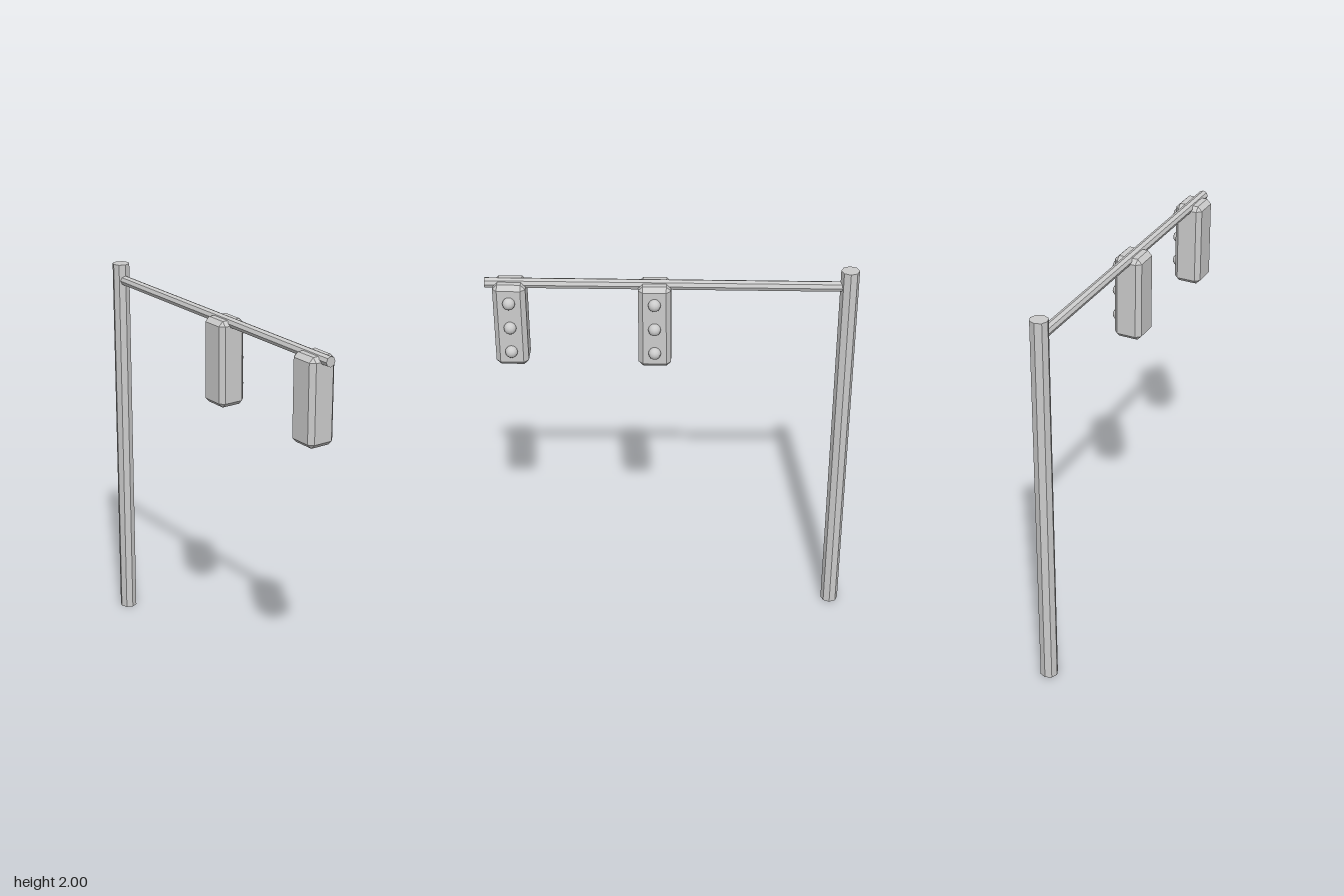
import * as THREE from 'three';
import { ConvexGeometry } from 'three/addons/geometries/ConvexGeometry.js';

const grey = new THREE.MeshStandardMaterial({ color: 0xcccccc });
grey.name = 'light grey metal';

const Z = 0.019; // depth of the pole and arm axis

// Faceted version of a geometry
function flat(geometry) {
  const g = geometry.toNonIndexed();
  g.computeVertexNormals();
  return g;
}

function part(name, geometry, x = 0, y = 0, z = 0) {
  const mesh = new THREE.Mesh(geometry, grey);
  mesh.name = name;
  mesh.position.set(x, y, z);
  return mesh;
}

// Box with every edge cut by a single chamfer
function chamferBox(w, h, d, c) {
  const points = [];
  for (const sx of [-1, 1]) for (const sy of [-1, 1]) for (const sz of [-1, 1]) {
    const x = w / 2, y = h / 2, z = d / 2;
    points.push(
      new THREE.Vector3(sx * x, sy * (y - c), sz * (z - c)),
      new THREE.Vector3(sx * (x - c), sy * y, sz * (z - c)),
      new THREE.Vector3(sx * (x - c), sy * (y - c), sz * z)
    );
  }
  return new ConvexGeometry(points);
}

export function createModel() {
  const model = new THREE.Group();
  model.name = 'trafficLight';

  // Eight-sided pole and arm
  model.add(part('pole', flat(new THREE.CylinderGeometry(0.045, 0.045, 2, 8)), -0.86, 1, Z));
  const armLength = 1.765;
  const arm = part('arm', flat(new THREE.CylinderGeometry(0.026, 0.026, armLength, 8)), 0.905 - armLength / 2, 1.914, Z);
  arm.rotation.z = Math.PI / 2;
  model.add(arm);

  // Signal heads with three lamps facing back
  const housing = chamferBox(0.16, 0.44, 0.146, 0.023);
  const lamp = new THREE.SphereGeometry(0.031, 12, 8);
  for (const x of [0.08, 0.784]) {
    const head = new THREE.Group();
    head.name = 'signalHead';
    head.position.set(x, 1.707, Z);
    head.add(part('housing', housing));
    for (const y of [0.134, 0, -0.133]) head.add(part('lamp', lamp, 0, y, -0.08));
    model.add(head);
  }
  return model;
}
